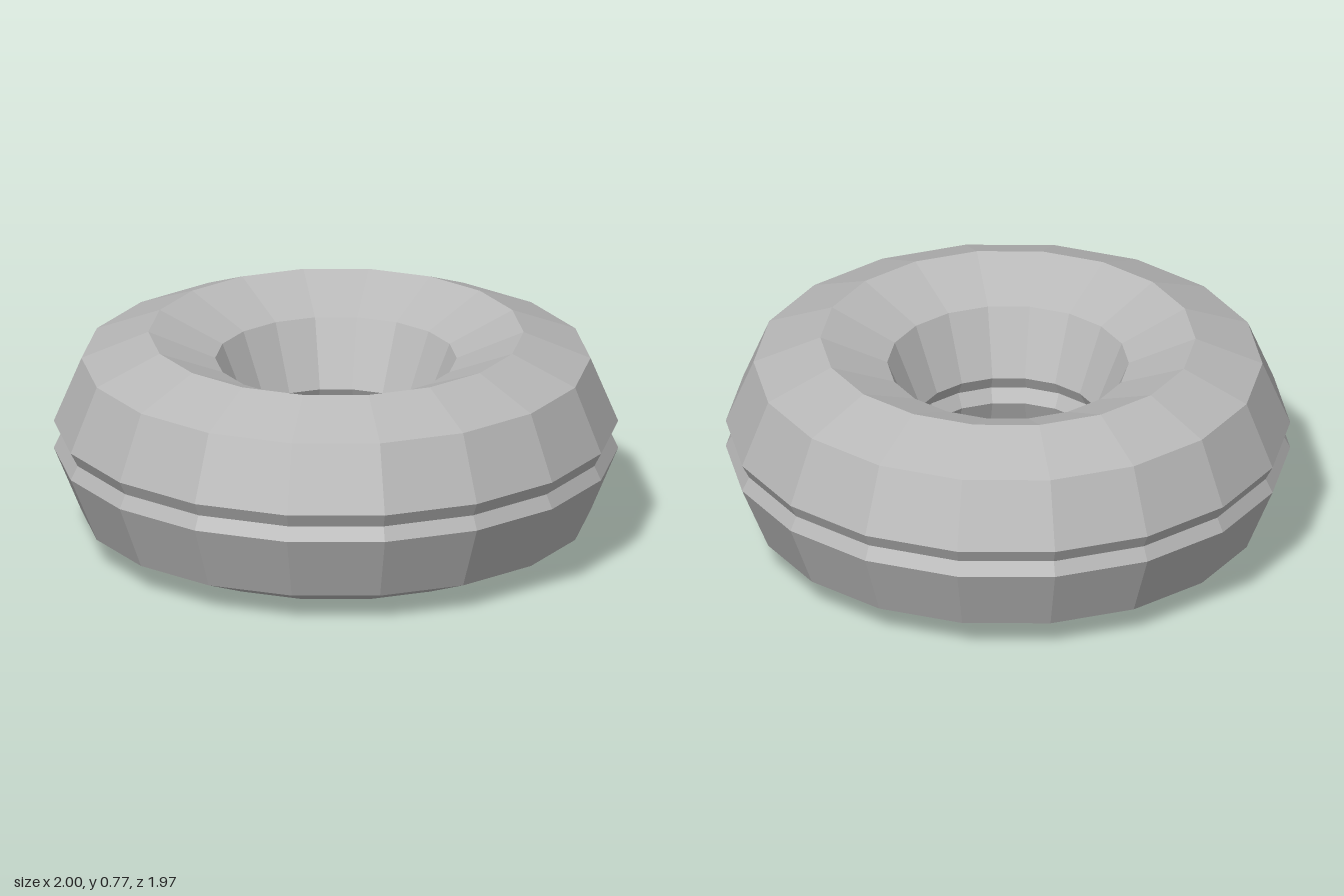
import * as THREE from 'three';

const SIDES = 18;     // facets around the ring
const RING = 0.665;   // centre radius of the tube
const TUBE = 0.335;   // tube radius
const MID = 0.385;    // height of the seam
const LIP = 0.05;     // half height of the seam groove
const GROOVE = 0.026; // groove depth

// Half of the octagonal tube section, from the outer groove over to the inner one
function halfProfile(dir) {
  const points = [new THREE.Vector2(RING + TUBE - GROOVE, MID)];
  for (let i = 0; i <= 4; i++) {
    const a = (i * Math.PI) / 4;
    points.push(new THREE.Vector2(RING + TUBE * Math.cos(a), MID + dir * (LIP + TUBE * Math.sin(a))));
  }
  points.push(new THREE.Vector2(RING - TUBE + GROOVE, MID));
  return dir > 0 ? points : points.reverse(); // keeps faces outward
}

export function createModel() {
  const group = new THREE.Group();
  group.name = 'ring';
  const material = new THREE.MeshStandardMaterial({ color: 0xb8b8b8, flatShading: true });
  material.name = 'light grey';

  // Upper and lower halves meeting at the grooved seam
  for (const [name, dir] of [['upperHalf', 1], ['lowerHalf', -1]]) {
    const geometry = new THREE.LatheGeometry(halfProfile(dir), SIDES, Math.PI / 2).toNonIndexed();
    geometry.computeVertexNormals();
    const mesh = new THREE.Mesh(geometry, material);
    mesh.name = name;
    group.add(mesh);
  }
  return group;
}
